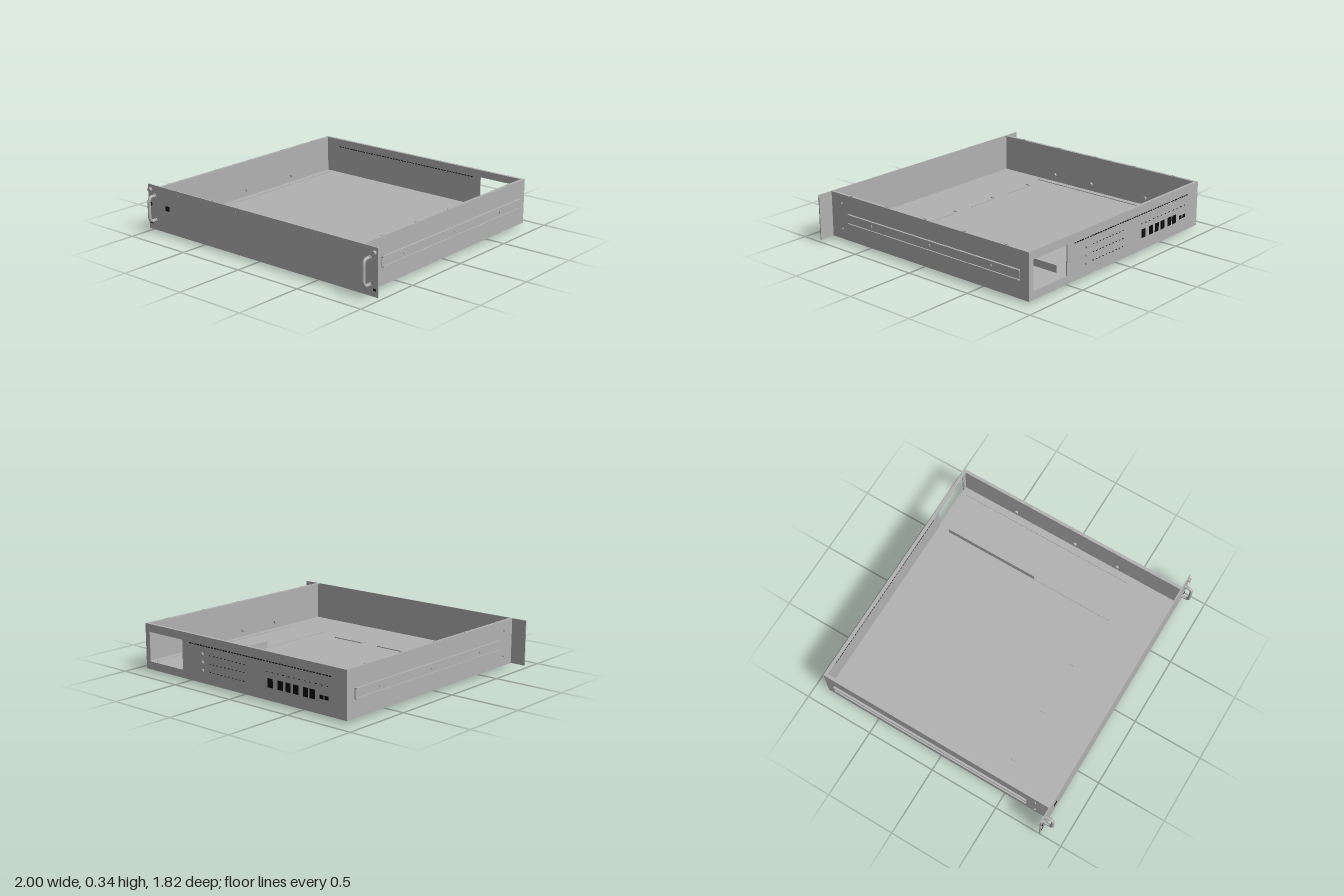
import * as THREE from 'three';

export function createModel() {
  const model = new THREE.Group();
  const material = (name, color) => {
    const m = new THREE.MeshStandardMaterial({ color });
    m.name = name;
    return m;
  };
  const metal = material('grey metal', 0xb2b2b2);
  const black = material('black', 0x0c0c0c);

  const add = (name, geometry, mat, x = 0, y = 0, z = 0, parent = model) => {
    const mesh = new THREE.Mesh(geometry, mat);
    mesh.name = name;
    mesh.position.set(x, y, z);
    parent.add(mesh);
    return mesh;
  };
  // Box given by its lower and upper limits
  const box = (name, x0, x1, y0, y1, z0, z1, mat = metal) =>
    add(name, new THREE.BoxGeometry(x1 - x0, y1 - y0, z1 - z0), mat,
      (x0 + x1) / 2, (y0 + y1) / 2, (z0 + z1) / 2);
  // Short cylinder along the chosen axis
  const disc = (name, r, h, axis, x, y, z, mat = metal) => {
    const g = new THREE.CylinderGeometry(r, r, h, 20);
    if (axis === 'x') g.rotateZ(Math.PI / 2);
    if (axis === 'z') g.rotateX(Math.PI / 2);
    return add(name, g, mat, x, y, z);
  };

  const W = 0.89, BACK = -0.9, FRONT = 0.84, LOW = 0.02, TOP = 0.335, DECK = 0.07, T = 0.008;

  // Floor, front panel with ears, side walls and folded top rims
  box('floor', -W, W, LOW, DECK, BACK + T, FRONT - T);
  box('frontPanel', -1, 1, LOW, TOP, FRONT - T, FRONT);
  for (const s of [-1, 1]) {
    const side = (name, a, b, ...rest) => box(name, Math.min(s * a, s * b), Math.max(s * a, s * b), ...rest);
    side('sideWall', W - T, W, LOW, TOP, BACK, FRONT - T);
    side('sideRim', W - 0.022, W - T, TOP - 0.006, TOP, BACK + T, FRONT - T);

    // Slide rail: a shallow channel
    side('railWeb', W, W + 0.005, 0.14, 0.21, -0.83, 0.67);
    side('railLip', W, W + 0.015, 0.14, 0.147, -0.83, 0.67);
    side('railLip', W, W + 0.015, 0.203, 0.21, -0.83, 0.67);
    for (const z of [-0.6, -0.08, 0.45]) disc('railScrew', 0.01, 0.006, 'x', s * (W + 0.007), 0.175, z);

    // Fasteners on the sides and on the top rim
    for (const y of [0.09, 0.27]) disc('sideScrew', 0.008, 0.01, 'x', s * (W + 0.003), y, 0.735);
    for (const z of [-0.47, 0.01, 0.35]) disc('innerStud', 0.014, 0.016, 'x', s * (W - 0.014), 0.12, z);
    for (const z of [-0.71, -0.37, -0.03, 0.31, 0.65]) {
      side('rimTab', 0.874, 0.882, TOP - 0.002, TOP + 0.004, z - 0.015, z + 0.015);
    }

    // Raised seam on the floor beside each wall
    side('floorSeam', 0.828, 0.834, DECK, DECK + 0.005, -0.86, 0.47);

    // Front handle
    const p = (y, z) => new THREE.Vector3(0, y, z);
    const path = new THREE.CurvePath();
    path.add(new THREE.LineCurve3(p(0.09, FRONT), p(0.09, 0.868)));
    path.add(new THREE.QuadraticBezierCurve3(p(0.09, 0.868), p(0.095, 0.894), p(0.13, 0.894)));
    path.add(new THREE.LineCurve3(p(0.13, 0.894), p(0.22, 0.894)));
    path.add(new THREE.QuadraticBezierCurve3(p(0.22, 0.894), p(0.26, 0.894), p(0.262, 0.868)));
    path.add(new THREE.LineCurve3(p(0.262, 0.868), p(0.262, FRONT)));
    add('handle', new THREE.TubeGeometry(path, 48, 0.011, 12), metal, s * 0.935);
    for (const y of [0.09, 0.262]) disc('handleFoot', 0.015, 0.008, 'z', s * 0.935, y, FRONT + 0.004);

    // Ear screws and mounting holes
    disc('earScrew', 0.014, 0.018, 'z', s * 0.975, 0.3, FRONT + 0.009);
    box('earHole', s * 0.975 - 0.011, s * 0.975 + 0.011, 0.058, 0.072, FRONT, FRONT + 0.002, black);

    // Feet
    for (const z of [-0.78, 0.72]) disc('foot', 0.034, LOW, 'y', s * 0.747, LOW / 2, z, black);
  }

  // Back wall with a rectangular opening
  const wall = new THREE.Shape();
  wall.moveTo(-W, LOW).lineTo(W, LOW).lineTo(W, TOP).lineTo(-W, TOP).closePath();
  const opening = new THREE.Path();
  opening.moveTo(0.53, 0.075).lineTo(0.53, 0.28).lineTo(0.85, 0.28).lineTo(0.85, 0.075).closePath();
  wall.holes.push(opening);
  add('backWall', new THREE.ExtrudeGeometry(wall, { depth: T, bevelEnabled: false }), metal, 0, 0, BACK);
  box('backRim', -W + T, W - T, TOP - 0.006, TOP, BACK + T, BACK + 0.022);

  // Low divider on the floor, and the ridge that continues it
  box('divider', 0.517, 0.523, DECK, 0.12, -0.81, -0.11);
  box('dividerRidge', 0.517, 0.523, DECK, DECK + 0.005, -0.11, 0.5);
  for (const [x0, x1] of [[0.1, 0.35], [-0.29, -0.04], [-0.68, -0.44]]) {
    box('floorLip', x0, x1, DECK, DECK + 0.006, 0.42, 0.425);
    box('floorLipEnd', x0, x0 + 0.005, DECK, DECK + 0.006, 0.425, 0.46);
  }

  // Front switch, indicator and small panel fasteners
  box('powerSwitch', -0.83, -0.795, 0.178, 0.21, FRONT, FRONT + 0.004, black);
  disc('lockRing', 0.012, 0.006, 'z', -0.975, 0.198, FRONT + 0.003, black);
  disc('lockCore', 0.005, 0.008, 'z', -0.975, 0.198, FRONT + 0.004);
  for (let i = 0; i < 9; i++) disc('panelRivet', 0.004, 0.002, 'z', -0.7 + i * 0.175, 0.305, FRONT + 0.001);

  // Back connectors, each with a row of small holes
  const backPlate = (name, x, y, w, h) =>
    box(name, x - w / 2, x + w / 2, y - h / 2, y + h / 2, BACK - 0.002, BACK, black);
  for (const y of [0.105, 0.16, 0.215]) {
    disc('connector', 0.011, 0.01, 'z', 0.34, y, BACK - 0.005);
    for (let i = 0; i < 10; i++) backPlate('connectorHole', 0.27 - i * 0.034, y, 0.012, 0.004);
  }

  // Back ports, indicator holes and the long vent row
  for (const x of [-0.265, -0.35, -0.415, -0.48, -0.56, -0.615]) backPlate('port', x, 0.135, 0.042, 0.06);
  for (const x of [-0.69, -0.73]) backPlate('smallPort', x, 0.13, 0.03, 0.025);
  for (let i = 0; i < 12; i++) backPlate('indicatorHole', -0.24 - i * 0.045, 0.205, 0.012, 0.004);
  for (let i = 0; i < 48; i++) backPlate('ventHole', 0.455 - i * 0.0258, 0.272, 0.016, 0.007);
  for (let i = 0; i < 48; i++) {
    const x = 0.455 - i * 0.0258;
    box('innerVentHole', x - 0.008, x + 0.008, 0.2685, 0.2755, BACK + T, BACK + T + 0.001, black);
  }

  return model;
}
